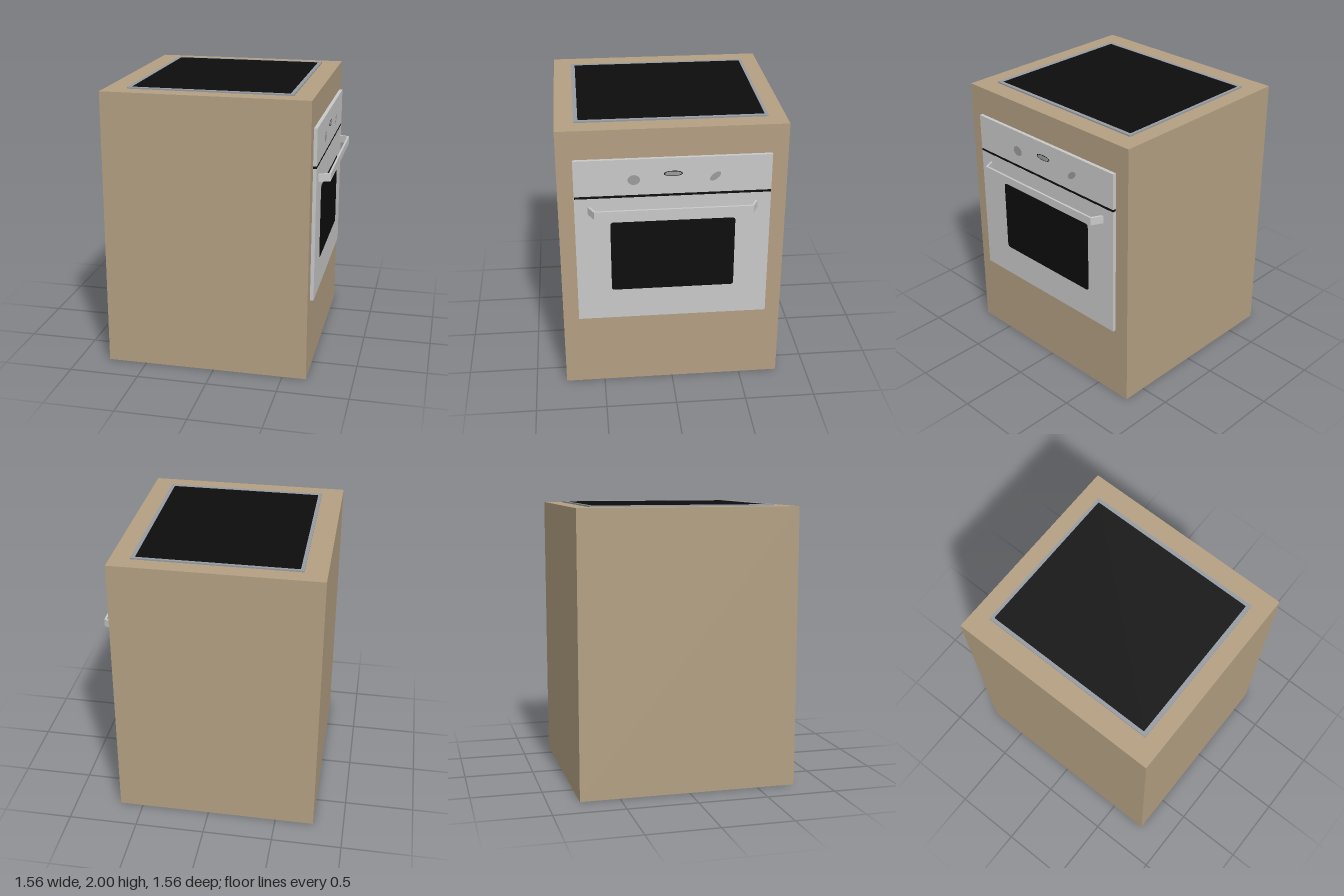
import * as THREE from 'three';

const mat = (name, color) => {
  const m = new THREE.MeshStandardMaterial({ color });
  m.name = name;
  return m;
};

export function createModel() {
  const model = new THREE.Group();
  model.name = 'ovenCabinet';
  const wood = mat('tan wood', 0xb39f82);
  const silver = mat('light silver', 0xc9c9c9);
  const steel = mat('frame steel', 0x969ca2);
  const grey = mat('control grey', 0x9c9c9c);
  const black = mat('black glass', 0x0d0d0d);

  const add = (name, geometry, material) => {
    const mesh = new THREE.Mesh(geometry, material);
    mesh.name = name;
    model.add(mesh);
    return mesh;
  };
  // Box given by its limits on each axis
  const box = (name, material, x0, x1, y0, y1, z0, z1) =>
    add(name, new THREE.BoxGeometry(x1 - x0, y1 - y0, z1 - z0), material)
      .position.set((x0 + x1) / 2, (y0 + y1) / 2, (z0 + z1) / 2);
  const rounded = (x0, x1, y0, y1, r, Type = THREE.Shape) => {
    const s = new Type();
    s.absarc(x1 - r, y1 - r, r, 0, Math.PI / 2);
    s.absarc(x0 + r, y1 - r, r, Math.PI / 2, Math.PI);
    s.absarc(x0 + r, y0 + r, r, Math.PI, Math.PI * 1.5);
    s.absarc(x1 - r, y0 + r, r, Math.PI * 1.5, Math.PI * 2);
    s.closePath();
    return s;
  };
  const extrude = (shape, depth) =>
    new THREE.ExtrudeGeometry(shape, { depth, bevelEnabled: false, curveSegments: 8 });
  // Thin plate on the oven's face, pointing towards +x
  const facePlate = (name, shape, material, depth, x) =>
    add(name, extrude(shape, depth).rotateY(Math.PI / 2), material).position.set(x, 0, 0);

  // Cabinet
  box('cabinet', wood, -0.78, 0.67, 0, 1.99, -0.78, 0.78);

  // Hob: steel rim around black glass
  const rim = rounded(-0.625, 0.53, -0.652, 0.66, 0.004);
  rim.holes.push(rounded(-0.6, 0.503, -0.622, 0.638, 0.008, THREE.Path));
  add('hobFrame', extrude(rim, 0.01).rotateX(-Math.PI / 2), steel).position.y = 1.99;
  box('hobGlass', black, -0.6, 0.503, 1.985, 1.998, -0.638, 0.622);

  // Oven front: door and control panel with a dark gap between
  box('ovenDoor', silver, 0.67, 0.695, 0.555, 1.506, -0.67, 0.67);
  box('doorGap', black, 0.67, 0.694, 1.506, 1.524, -0.668, 0.668);
  box('controlPanel', silver, 0.67, 0.695, 1.524, 1.785, -0.67, 0.67);
  facePlate('ovenWindow', rounded(-0.43, 0.43, 0.787, 1.32, 0.02), black, 0.003, 0.695);

  // Controls: two knobs and a display
  const ellipse = (z, y, rx, ry, tilt = 0) =>
    new THREE.Shape().absellipse(-z, y, rx, ry, 0, Math.PI * 2, false, tilt);
  facePlate('leftKnob', ellipse(0.265, 1.635, 0.042, 0.036), grey, 0.002, 0.695);
  facePlate('rightKnob', ellipse(-0.285, 1.64, 0.045, 0.022, 0.7), grey, 0.002, 0.695);
  facePlate('displayBezel', ellipse(0, 1.672, 0.064, 0.02), black, 0.001, 0.695);
  facePlate('display', ellipse(0, 1.672, 0.057, 0.016), grey, 0.002, 0.695);

  // Handle: flat bar with slanted ends, drawn in plan
  const outer = [[0.69, 0.582], [0.775, 0.54], [0.775, -0.54], [0.69, -0.582]];
  const inner = [[0.69, -0.565], [0.76, -0.53], [0.76, 0.53], [0.69, 0.565]];
  const plan = new THREE.Shape([...outer, ...inner].map(([x, z]) => new THREE.Vector2(x, z)));
  add('doorHandle', extrude(plan, 0.055).rotateX(-Math.PI / 2), silver).position.y = 1.39;

  return model;
}
